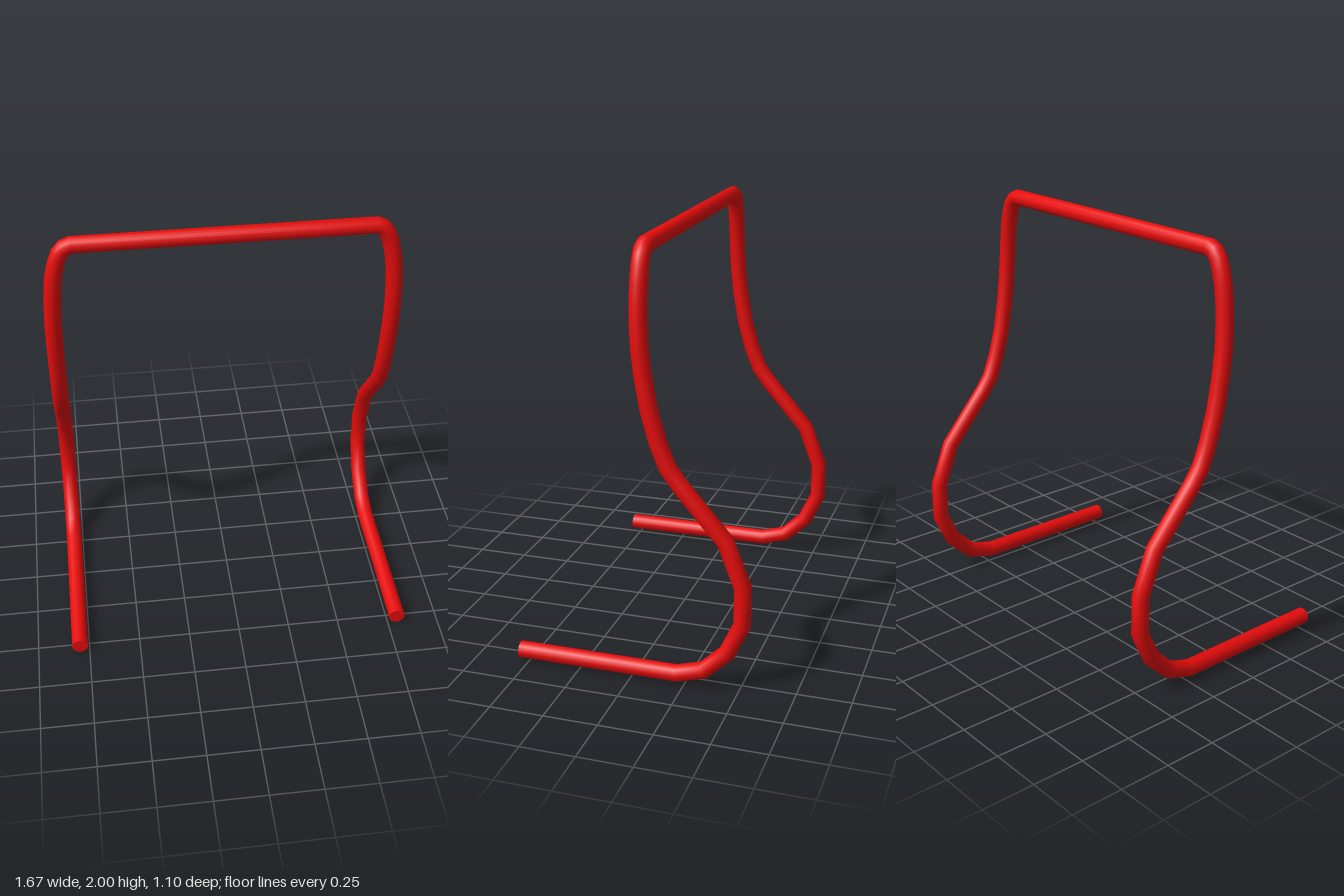
import * as THREE from 'three';

const RADIUS = 0.0395;
const SIDES = 16;

// Path that keeps every bend point, with mitred joints between straight runs
class BentPath extends THREE.Curve {
  constructor(points) {
    super();
    this.points = points;
  }
  getPoint(t) {
    return this.points[Math.round(t * (this.points.length - 1))].clone();
  }
  getPointAt(u) {
    return this.getPoint(u);
  }
  getTangentAt(u) {
    const p = this.points, i = Math.round(u * (p.length - 1));
    const dir = (a, b) => (p[a] && p[b] ? p[b].clone().sub(p[a]).normalize() : new THREE.Vector3());
    return dir(i - 1, i).add(dir(i, i + 1)).normalize();
  }
}

export function createModel() {
  const group = new THREE.Group();
  group.name = 'bentTubeFrame';
  const material = new THREE.MeshStandardMaterial({ color: 0xe60c0c });

  // Left half of the frame, from the foot tip up to the top bar: x, y, z
  const half = [
    [0.795, 0.04, 0.55], [0.795, 0.04, -0.21], [0.795, 0.077, -0.335],
    [0.795, 0.18, -0.443], [0.795, 0.325, -0.51], [0.795, 0.505, -0.51],
    [0.795, 0.71, -0.43], [0.795, 0.945, -0.225], [0.795, 1.02, -0.17],
    [0.795, 1.13, -0.127], [0.795, 1.27, -0.088], [0.795, 1.42, -0.062],
    [0.794, 1.54, -0.048], [0.789, 1.65, -0.042], [0.782, 1.74, -0.04],
    [0.771, 1.815, -0.04], [0.756, 1.875, -0.04], [0.738, 1.92, -0.04],
    [0.715, 1.948, -0.04], [0.685, 1.96, -0.04],
  ].map((p) => new THREE.Vector3(...p));
  const mirrored = half.map((p) => new THREE.Vector3(-p.x, p.y, p.z)).reverse();
  const points = [...half, ...mirrored];

  // One continuous tube: foot, leg, top bar, leg, foot
  const tube = new THREE.Mesh(
    new THREE.TubeGeometry(new BentPath(points), points.length - 1, RADIUS, SIDES, false),
    material,
  );
  tube.name = 'frameTube';
  group.add(tube);

  // Flat ends of the feet
  for (const [name, side] of [['leftFootCap', 1], ['rightFootCap', -1]]) {
    const cap = new THREE.Mesh(new THREE.CircleGeometry(RADIUS, SIDES), material);
    cap.position.set(side * half[0].x, half[0].y, half[0].z);
    cap.name = name;
    group.add(cap);
  }
  return group;
}
